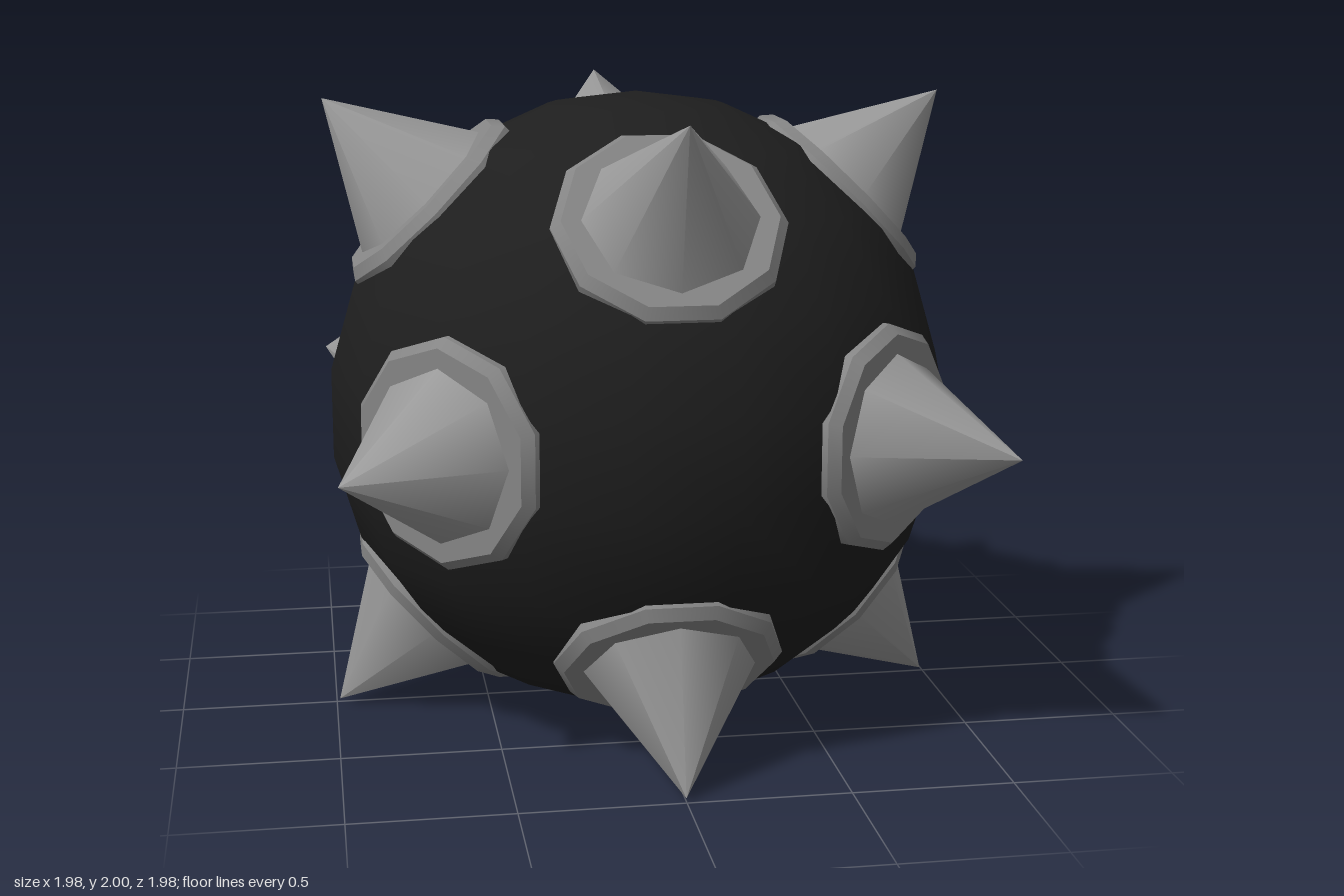
import * as THREE from 'three';

const material = (color) => new THREE.MeshStandardMaterial({ color });

export function createModel() {
  const model = new THREE.Group();
  model.name = 'spikedBall';
  const bodyMat = material(0x1e1e1e);
  const collarMat = material(0x858585);
  const spikeMat = material(0x999999);

  // Low-poly ball
  const ball = new THREE.Mesh(
    new THREE.SphereGeometry(1, 19, 11, -Math.PI / 2, Math.PI * 2), bodyMat);
  ball.name = 'ball';
  ball.position.y = 1;
  model.add(ball);

  // Shared spike parts, measured outward from the ball's centre along +y
  const wallGeo = new THREE.CylinderGeometry(0.354, 0.354, 0.1, 10, 1, true).translate(0, 0.892, 0);
  const bevelGeo = new THREE.CylinderGeometry(0.325, 0.354, 0.032, 10).translate(0, 0.958, 0);
  const coneGeo = new THREE.ConeGeometry(0.265, 0.426, 8, 1, true).translate(0, 1.187, 0);

  function addSpike(direction, side) {
    const spike = new THREE.Group();
    spike.name = 'spike';
    const parts = [
      ['collarWall', wallGeo, collarMat],
      ['collarBevel', bevelGeo, collarMat],
      ['spikeCone', coneGeo, spikeMat],
    ];
    for (const [name, geometry, mat] of parts) {
      const mesh = new THREE.Mesh(geometry, mat);
      mesh.name = name;
      spike.add(mesh);
    }
    // Local y points outward, local z along the unused coordinate axis
    const across = new THREE.Vector3().crossVectors(direction, side);
    spike.quaternion.setFromRotationMatrix(
      new THREE.Matrix4().makeBasis(across, direction, side));
    spike.position.y = 1;
    model.add(spike);
  }

  // Twelve spikes, on the diagonals of the three coordinate planes
  for (let axis = 0; axis < 3; axis++) {
    const side = new THREE.Vector3().setComponent(axis, 1);
    for (const a of [-1, 1]) {
      for (const b of [-1, 1]) {
        const direction = new THREE.Vector3()
          .setComponent((axis + 1) % 3, a)
          .setComponent((axis + 2) % 3, b)
          .normalize();
        addSpike(direction, side);
      }
    }
  }
  return model;
}
